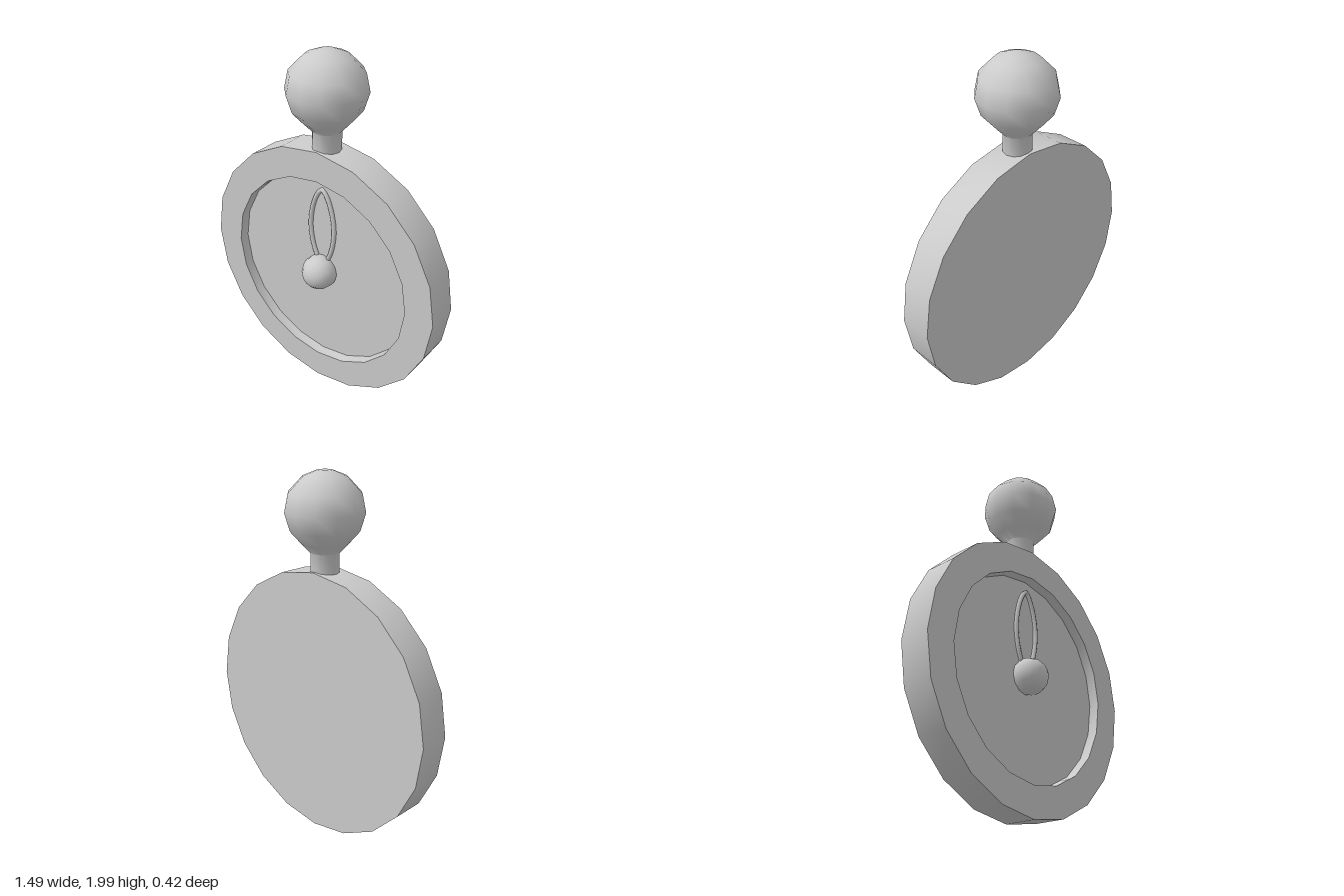
import * as THREE from 'three';
import { toCreasedNormals } from 'three/addons/utils/BufferGeometryUtils.js';

const material = new THREE.MeshStandardMaterial({ color: 0xcccccc });
const CENTRE_Y = 0.75;

// Lathe from a list of [radius, height] pairs, keeping hard edges sharp.
function turned(profile, sides) {
  const points = profile.map(([r, h]) => new THREE.Vector2(r, h));
  return toCreasedNormals(new THREE.LatheGeometry(points, sides), 0.75);
}

export function createModel() {
  const group = new THREE.Group();
  const add = (name, geometry, x = 0, y = 0, z = 0) => {
    const mesh = new THREE.Mesh(geometry, material);
    mesh.name = name;
    mesh.position.set(x, y, z);
    group.add(mesh);
    return mesh;
  };

  // Round case with a raised rim and a sunken face
  const dial = turned([
    [0, -0.09], [0.743, -0.09], [0.743, 0.09],
    [0.575, 0.09], [0.571, 0.035], [0, 0.035],
  ], 20);
  dial.rotateX(Math.PI / 2);
  add('case', dial, 0, CENTRE_Y);

  // Ball knob flowing into a short stem
  add('knob', turned([
    [0.077, 1.42], [0.077, 1.585], [0.125, 1.635], [0.183, 1.7],
    [0.212, 1.795], [0.192, 1.89], [0.115, 1.97], [0.04, 2], [0, 2],
  ], 12));

  // Leaf-shaped outline of the hand, lying on the face
  const half = [[0.036, 0.83], [0.062, 0.9], [0.079, 1.02], [0.063, 1.14], [0.03, 1.225]];
  const outline = [
    [0.01, 0.77], ...half, [0, 1.258],
    ...half.map(([x, y]) => [-x, y]).reverse(), [-0.01, 0.77],
  ].map(([x, y]) => new THREE.Vector3(x, y, 0));
  const path = new THREE.CatmullRomCurve3(outline);
  add('hand', new THREE.TubeGeometry(path, 36, 0.013, 8), 0, 0, 0.04);

  // Domed centre cap
  const cap = new THREE.SphereGeometry(0.1, 12, 10);
  cap.rotateX(Math.PI / 2);
  add('centreCap', cap, 0, CENTRE_Y, 0.066);

  return group;
}
